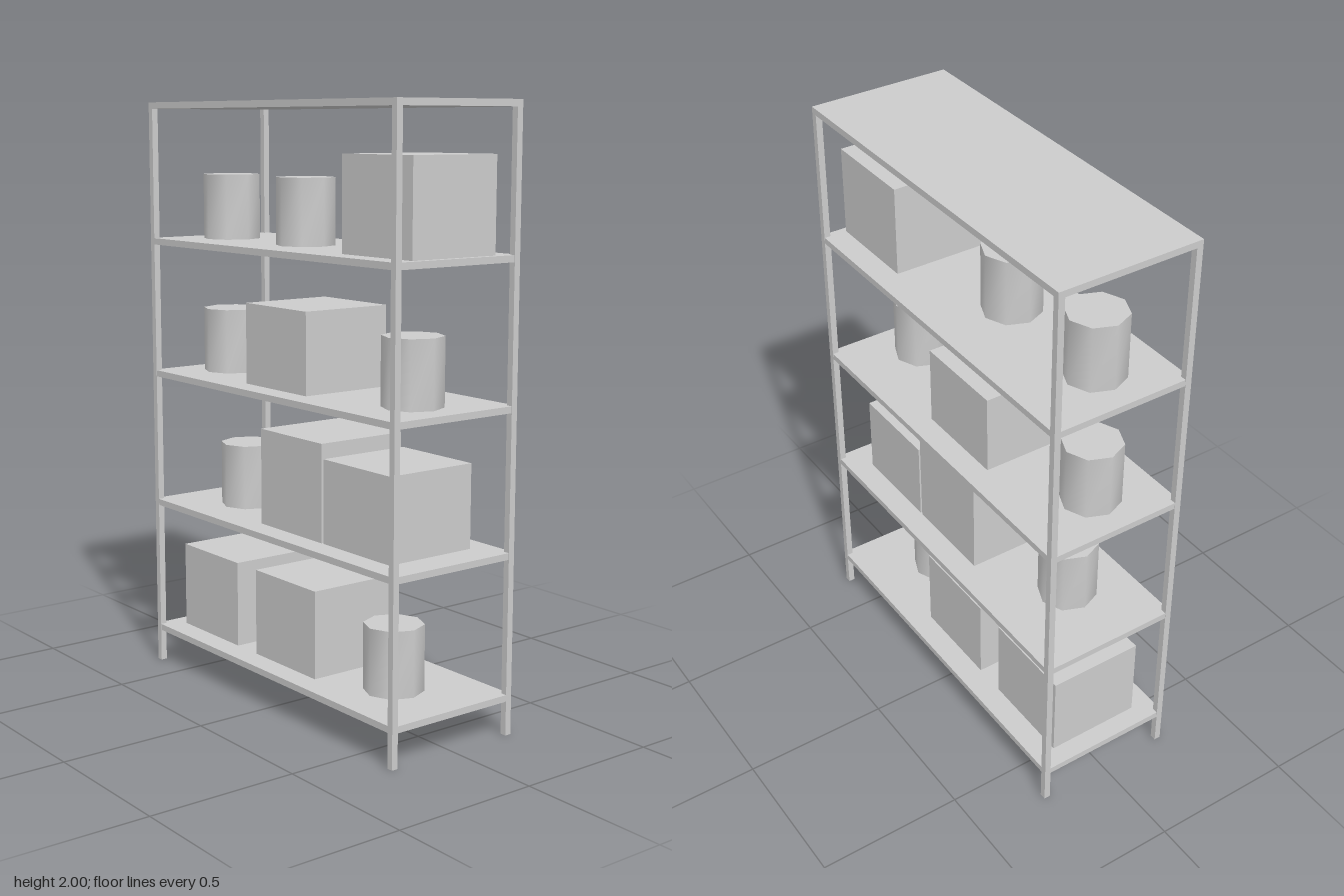
import * as THREE from 'three';
import { toCreasedNormals } from 'three/addons/utils/BufferGeometryUtils.js';

const W = 1.33, D = 0.494, T = 0.022; // rack width, depth, and stock thickness
const shelfTops = [0.135, 0.601, 1.068, 1.534, 2.0];

// Goods per shelf, bottom to top: boxes as [x, height], cans as [x]
const goods = [
  { boxes: [[-0.432, 0.297], [0.009, 0.297]], cans: [0.405] },
  { boxes: [[0.045, 0.325], [0.386, 0.277]], cans: [-0.394] },
  { boxes: [[-0.037, 0.272]], cans: [-0.495, 0.485] },
  { boxes: [[0.478, 0.304]], cans: [-0.489, -0.06] },
];

export function createModel() {
  const rack = new THREE.Group();
  rack.name = 'storageRack';
  const grey = new THREE.MeshStandardMaterial({ color: 0xcccccc });
  grey.name = 'light grey';

  const add = (name, geometry, x, y, z) => {
    const mesh = new THREE.Mesh(geometry, grey);
    mesh.name = name;
    mesh.position.set(x, y, z);
    rack.add(mesh);
  };

  // Corner posts
  const post = new THREE.BoxGeometry(T, 2 - T, T);
  for (const sx of [-1, 1]) for (const sz of [-1, 1]) {
    add('post', post, sx * (W - T) / 2, (2 - T) / 2, sz * (D - T) / 2);
  }

  // Shelves: the top one caps the posts, the rest sit just inside their faces
  shelfTops.forEach((top, i) => {
    const inset = i === shelfTops.length - 1 ? 0 : 0.002;
    add('shelf', new THREE.BoxGeometry(W - inset, T, D - inset), 0, top - T / 2, 0);
  });

  // Boxes and eight-sided cans with softly shaded walls
  const canHeight = 0.222, boxSize = 0.331;
  const can = toCreasedNormals(new THREE.CylinderGeometry(0.099, 0.099, canHeight, 8), Math.PI / 3);
  goods.forEach(({ boxes, cans }, i) => {
    const y = shelfTops[i];
    for (const [x, h] of boxes) {
      add('box', new THREE.BoxGeometry(boxSize, h, boxSize), x, y + h / 2, 0.001);
    }
    for (const x of cans) add('can', can, x, y + canHeight / 2, 0.024);
  });

  return rack;
}
